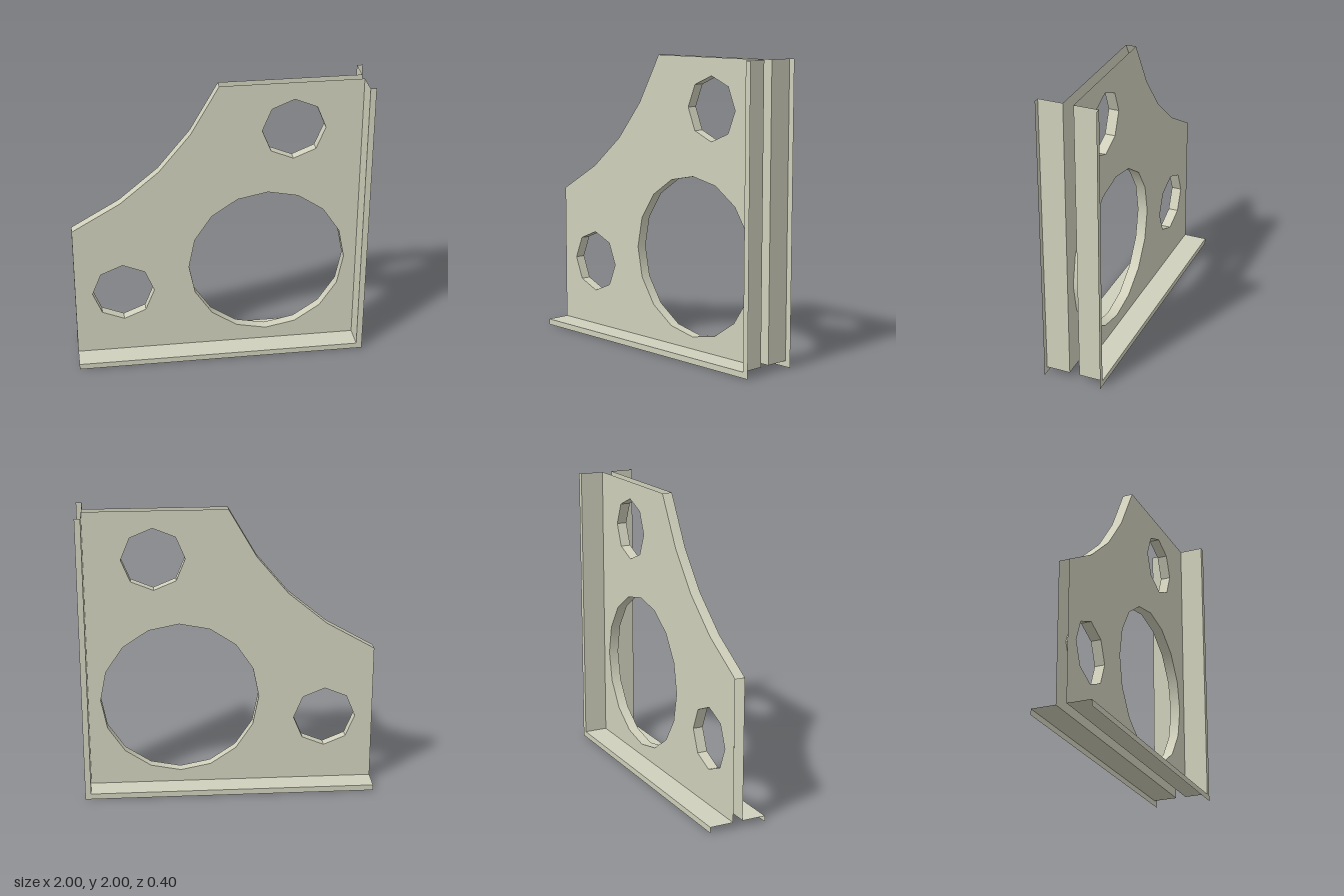
import * as THREE from 'three';

const PLATE = 0.035;  // half the gap between the two sheets
const DEPTH = 0.2;    // half the depth across the flanges
const LIP = 0.04;     // width of the outer lips
const EDGE = 1 - LIP; // x of the upright flanges

// stepped curve across the cut corner
const CURVE = [[-1, 1], [-0.67, 1.19], [-0.405, 1.41], [-0.19, 1.67], [0, 2]];

const HOLES = [
  { name: 'largeHole', x: 0.333, y: 0.667, r: 0.543, sides: 16, flat: false },
  { name: 'upperHole', x: 0.5, y: 1.667, r: 0.214, sides: 8, flat: true },
  { name: 'lowerHole', x: -0.667, y: 0.5, r: 0.214, sides: 8, flat: true },
];

const toPoints = (list) => list.map(([x, y]) => new THREE.Vector2(x, y));

function plateShape() {
  const shape = new THREE.Shape(toPoints([[-1, LIP], [EDGE, LIP], [EDGE, 2], ...CURVE.slice().reverse()]));
  for (const { x, y, r, sides } of HOLES) {
    const ring = [];
    for (let i = 0; i < sides; i++) {
      const a = (-i / sides) * Math.PI * 2;
      ring.push([x + r * Math.cos(a), y + r * Math.sin(a)]);
    }
    shape.holes.push(new THREE.Path(toPoints(ring)));
  }
  return shape;
}

// strip joining the two sheets along the curve
function curveWall() {
  const geo = new THREE.PlaneGeometry(1, 1, CURVE.length - 1, 1);
  const pos = geo.attributes.position;
  for (let i = 0; i < pos.count; i++) {
    const [x, y] = CURVE[i % CURVE.length];
    pos.setXYZ(i, x, y, -Math.sign(pos.getY(i)) * PLATE);
  }
  geo.computeVertexNormals();
  return geo;
}

export function createModel() {
  const group = new THREE.Group();
  const panel = new THREE.MeshStandardMaterial({ color: 0xd0d0bc, side: THREE.DoubleSide });
  panel.name = 'paleGreyPanel';

  const add = (name, geo, x = 0, y = 0, z = 0) => {
    const mesh = new THREE.Mesh(geo, panel);
    mesh.name = name;
    mesh.position.set(x, y, z);
    group.add(mesh);
    return mesh;
  };

  const sheet = new THREE.ShapeGeometry(plateShape());
  const lip = new THREE.ShapeGeometry(new THREE.Shape(toPoints(
    [[-1, 0], [1, 0], [1, 2], [EDGE, 2], [EDGE, LIP], [-1, LIP]])));
  const legWidth = DEPTH - PLATE;
  const upright = new THREE.PlaneGeometry(legWidth, 2 - LIP).rotateY(Math.PI / 2);
  const ledge = new THREE.PlaneGeometry(1 + EDGE, legWidth).rotateX(-Math.PI / 2);

  // front and back halves mirror each other
  for (const [side, s] of [['front', 1], ['back', -1]]) {
    const legZ = s * (PLATE + legWidth / 2);
    add(side + 'Sheet', sheet, 0, 0, s * PLATE);
    add(side + 'UprightFlange', upright, EDGE, (2 + LIP) / 2, legZ);
    add(side + 'BottomFlange', ledge, (EDGE - 1) / 2, LIP, legZ);
    add(side + 'Lip', lip, 0, 0, s * DEPTH);
  }

  // walls of the holes
  for (const { name, x, y, r, sides, flat } of HOLES) {
    let geo = new THREE.CylinderGeometry(r, r, PLATE * 2, sides, 1, true).rotateX(Math.PI / 2);
    if (flat) {
      geo = geo.toNonIndexed();
      geo.computeVertexNormals();
    }
    add(name + 'Wall', geo, x, y, 0);
  }

  add('curveWall', curveWall());
  return group;
}
